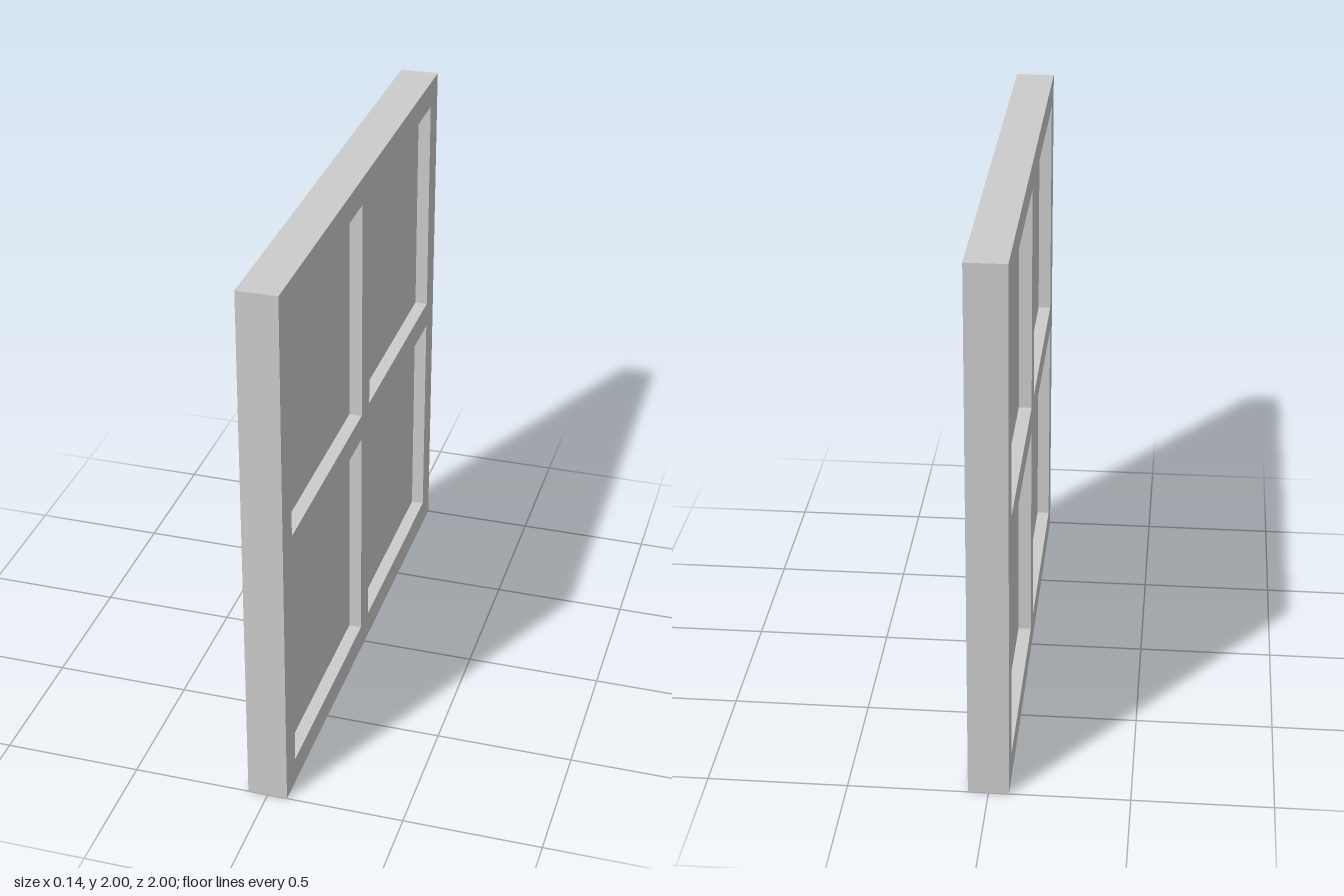
import * as THREE from 'three';

const THICK = 0.145, GLASS = 0.05;
const INNER = 0.05, OUTER = 0.9; // pane edges measured from the window centre

// Trace a closed rectangle on a Shape or Path
function rect(path, x0, y0, x1, y1) {
  path.moveTo(x0, y0);
  path.lineTo(x1, y0);
  path.lineTo(x1, y1);
  path.lineTo(x0, y1);
  path.closePath();
  return path;
}

export function createModel() {
  const group = new THREE.Group();
  group.name = 'window';
  const material = new THREE.MeshStandardMaterial({ color: 0xcccccc, flatShading: true });

  // Frame and crossing bars: one slab with four openings
  const outline = rect(new THREE.Shape(), -1, -1, 1, 1);
  const size = OUTER - INNER, mid = (OUTER + INNER) / 2;
  for (const sz of [-1, 1]) {
    for (const sy of [-1, 1]) {
      const z = sz * mid, y = sy * mid;
      outline.holes.push(rect(new THREE.Path(), z - size / 2, y - size / 2, z + size / 2, y + size / 2));

      // Recessed pane filling the opening
      const pane = new THREE.Mesh(new THREE.BoxGeometry(GLASS, size, size), material);
      pane.name = `${sy > 0 ? 'upper' : 'lower'}${sz > 0 ? 'Front' : 'Back'}Pane`;
      pane.position.set(0, 1 + y, z);
      group.add(pane);
    }
  }
  const geometry = new THREE.ExtrudeGeometry(outline, { depth: THICK, bevelEnabled: false });
  geometry.translate(0, 0, -THICK / 2);
  geometry.rotateY(Math.PI / 2);
  const frame = new THREE.Mesh(geometry, material);
  frame.name = 'frame';
  frame.position.y = 1;
  group.add(frame);

  return group;
}
